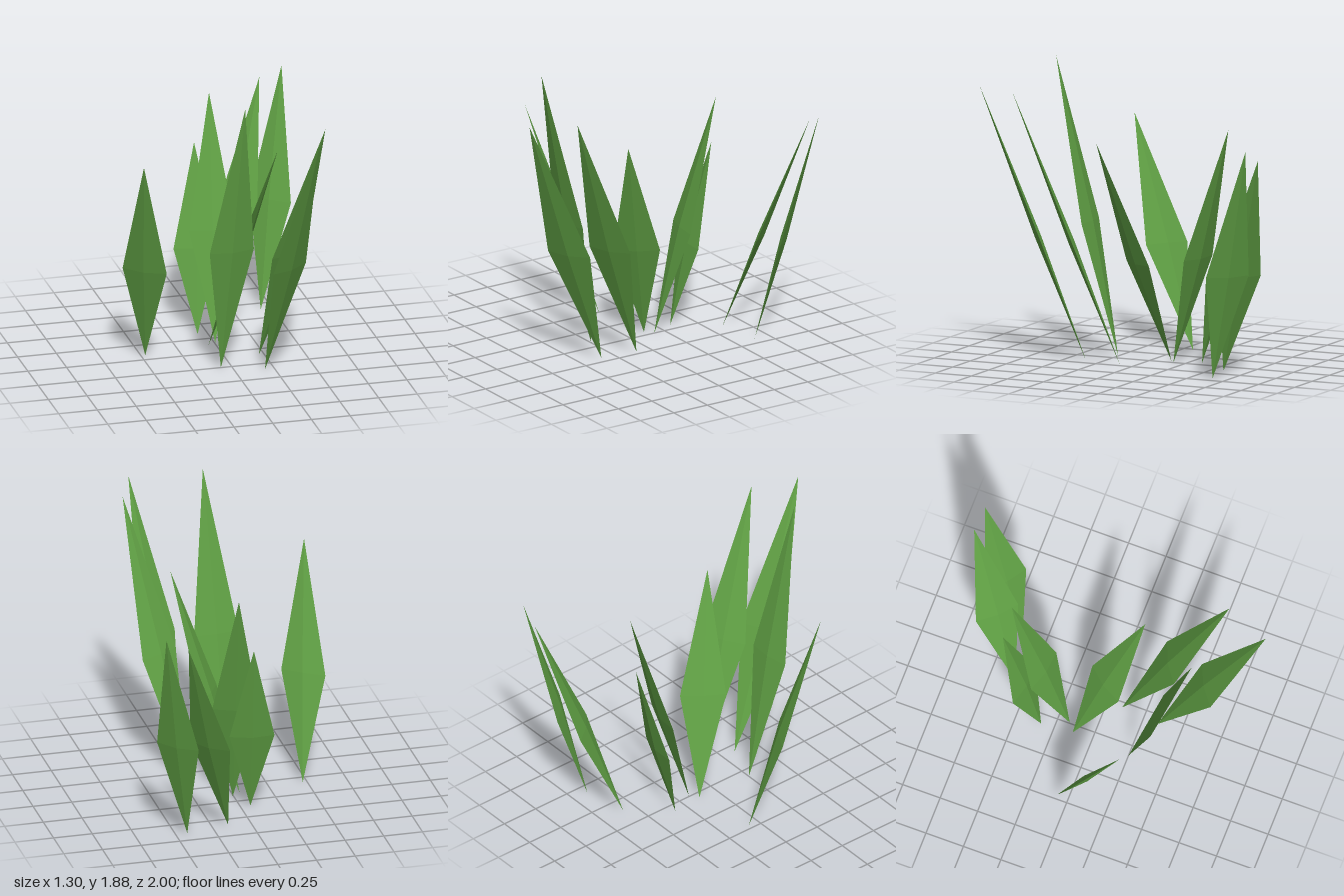
import * as THREE from 'three';

const MID = 0.45;    // height fraction of the widest point
const DEPTH = 0.02;  // half thickness at the ridge

// Each blade: base [x, z], tip [x, y, z], half-width vector [x, z]
const BLADES = [
  { base: [-0.472, -0.075], tip: [-0.605, 1.45, 0.395], side: [0.12, 0.085] },
  { base: [-0.07, 0.25], tip: [-0.02, 1.88, 0.655], side: [0.145, -0.01] },
  { base: [0.19, 0.345], tip: [0.37, 1.73, 1.0], side: [0.125, -0.075] },
  { base: [0.215, 0.1], tip: [0.482, 1.72, 0.715], side: [0.125, -0.07] },
  { base: [-0.05, -0.13], tip: [0.305, 1.405, 0.22], side: [0.083, -0.118] },
  { base: [0.005, -0.17], tip: [0.075, 1.515, -0.585], side: [0.143, 0.03] },
  { base: [-0.065, -0.335], tip: [-0.015, 1.18, -0.61], side: [0.14, 0.02] },
  { base: [0.145, -0.585], tip: [0.51, 1.415, -1.0], side: [0.1, 0.103] },
  { base: [0.425, -0.645], tip: [0.648, 1.49, -0.98], side: [0.109, 0.096] },
];

// Flattened eight-faced blade: point, four-cornered waist, point
function bladeGeometry({ base, tip, side }) {
  const b = new THREE.Vector3(base[0], 0, base[1]);
  const t = new THREE.Vector3(...tip);
  const s = new THREE.Vector3(side[0], 0, side[1]);
  const n = new THREE.Vector3().crossVectors(s, t.clone().sub(b)).setLength(DEPTH);
  const c = b.clone().lerp(t, MID);
  const ring = [c.clone().add(s), c.clone().add(n), c.clone().sub(s), c.clone().sub(n)];
  const points = [];
  ring.forEach((p, i) => {
    const q = ring[(i + 1) % 4];
    points.push(b, p, q, t, q, p);
  });
  const geometry = new THREE.BufferGeometry().setFromPoints(points);
  geometry.computeVertexNormals();
  return geometry;
}

export function createModel() {
  const group = new THREE.Group();
  group.name = 'grassTuft';
  const green = new THREE.MeshStandardMaterial({ color: 0x60a044, flatShading: true });
  green.name = 'grassGreen';
  BLADES.forEach((blade, i) => {
    const mesh = new THREE.Mesh(bladeGeometry(blade), green);
    mesh.name = `grassBlade${i + 1}`;
    group.add(mesh);
  });
  return group;
}
